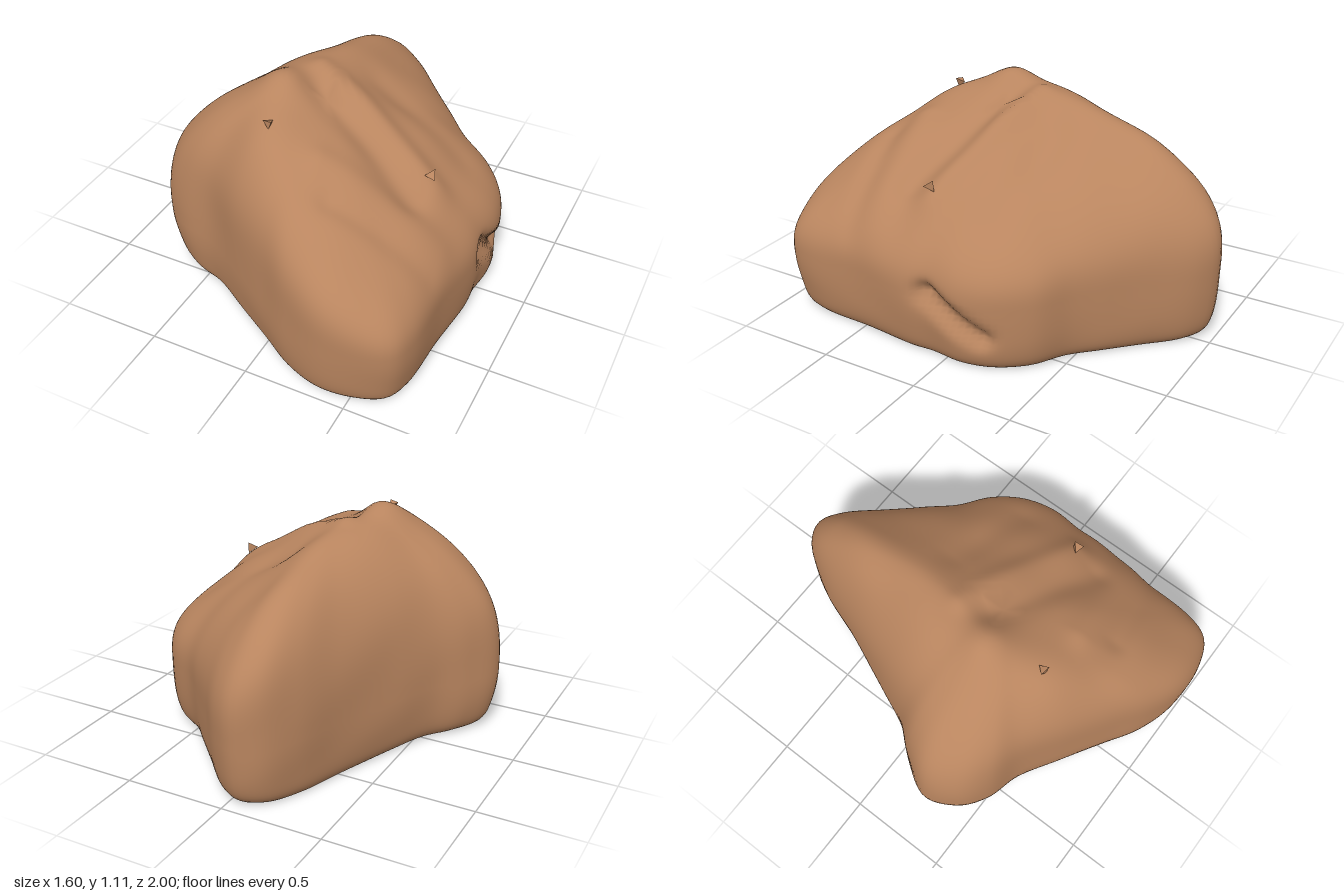
import * as THREE from 'three';
import { mergeVertices } from 'three/addons/utils/BufferGeometryUtils.js';

const AROUND = 180, MID = 0.3, POWER = 3.2;
const CENTER = new THREE.Vector2(0, 0.15);

// Widest contour of the boulder, as x, z pairs
const contour = [
  [-0.06, -1], [0.05, -0.95], [0.2, -0.8], [0.35, -0.65], [0.48, -0.52], [0.65, -0.41],
  [0.76, -0.26], [0.8, -0.1], [0.785, 0.08], [0.79, 0.2], [0.76, 0.5], [0.74, 0.8],
  [0.69, 0.92], [0.55, 0.985], [0.37, 1], [0.18, 0.94], [0, 0.83], [-0.2, 0.71],
  [-0.42, 0.58], [-0.6, 0.53], [-0.73, 0.44], [-0.8, 0.28], [-0.72, 0.12], [-0.6, -0.02],
  [-0.5, -0.22], [-0.42, -0.4], [-0.35, -0.57], [-0.27, -0.79], [-0.17, -0.95],
];

// Ridges (positive) and valleys (negative) across the top: x1, z1, x2, z2, width, height
const folds = [
  [-0.1, -0.02, 0.57, 0.18, 0.07, 0.035],
  [-0.05, 0.13, 0.5, 0.33, 0.08, -0.035],
  [0.15, 0.5, 0.7, 0.42, 0.08, 0.03],
  [0.25, 0.63, 0.7, 0.56, 0.06, -0.02],
  [-0.1, -0.15, -0.06, -0.8, 0.09, 0.02],
  [0.1, -0.2, 0.55, -0.15, 0.09, -0.02],
  [-0.22, 0.2, -0.18, 0.2, 0.1, 0.03],
];

const soft = (v, s = 0.1) => (v + Math.sqrt(v * v + s * s)) / 2;

// Bell-shaped falloff around a line segment
function bell(px, py, ax, ay, bx, by, width) {
  const dx = bx - ax, dy = by - ay;
  const t = THREE.MathUtils.clamp(((px - ax) * dx + (py - ay) * dy) / (dx * dx + dy * dy), 0, 1);
  const d = Math.hypot(px - ax - t * dx, py - ay - t * dy) / width;
  return Math.exp(-d * d);
}

// Height of the crown: a peak falling gently west, north and south, and faster east
function crown(x, z) {
  let h = 1.13 - 0.45 * soft(-0.2 - x) - 0.5 * soft(x + 0.2) - 0.17 * soft(-z) - 0.12 * soft(z - 0.2);
  for (const [ax, az, bx, bz, w, amount] of folds) h += amount * bell(x, z, ax, az, bx, bz, w);
  return h + 0.008 * Math.sin(13 * x + 5 * z) * Math.cos(11 * z - 4 * x);
}

// How far the foot is drawn in below the widest level
function footScale(x, y) {
  const inset = 0.085 + 0.06 * THREE.MathUtils.smoothstep(-x, 0.3, 0.75);
  const k = 1 - y / MID;
  return 1 - inset * (0.55 * k * k + 0.45 * Math.pow(k, 12));
}

// Closed grid of rings, running from the first ring up to the last
function ringSurface(rings, pointAt) {
  const positions = [], index = [];
  for (let j = 0; j < rings; j++) {
    for (let i = 0; i < AROUND; i++) positions.push(...pointAt(i, j));
  }
  for (let j = 0; j < rings - 1; j++) {
    for (let i = 0; i < AROUND; i++) {
      const a = j * AROUND + i, b = j * AROUND + (i + 1) % AROUND;
      index.push(a, a + AROUND, b, b, a + AROUND, b + AROUND);
    }
  }
  let geometry = new THREE.BufferGeometry();
  geometry.setAttribute('position', new THREE.Float32BufferAttribute(positions, 3));
  geometry.setIndex(index);
  geometry = mergeVertices(geometry, 1e-5);
  geometry.computeVertexNormals();
  return geometry;
}

export function createModel() {
  const group = new THREE.Group();
  group.name = 'boulder';
  const stone = new THREE.MeshStandardMaterial({ color: 0xb9855f });
  stone.name = 'brownStone';

  const curve = new THREE.CatmullRomCurve3(contour.map(([x, z]) => new THREE.Vector3(x, 0, z)), true);
  const edge = curve.getSpacedPoints(AROUND).slice(0, AROUND);
  const place = (i, f) => [
    CENTER.x + f * (edge[i].x - CENTER.x),
    CENTER.y + f * (edge[i].z - CENTER.y),
  ];

  // Body: drawn-in foot, steep walls, and a rounded shoulder running into the crown
  const footRings = 16, topRings = 64;
  const body = ringSurface(footRings + topRings, (i, j) => {
    let x, y, z;
    if (j < footRings) {
      y = MID * Math.pow(j / footRings, 1.5);
      [x, z] = place(i, footScale(edge[i].x, y));
    } else {
      const t = (j - footRings) / (topRings - 1), a = t * Math.PI / 2;
      const f = t === 1 ? 0 : Math.pow(Math.cos(a), 2 / POWER);
      [x, z] = place(i, f);
      y = MID + (crown(x, z) - MID) * Math.pow(Math.sin(a), 2 / POWER);
    }
    // Slanting gash in the east wall and slight unevenness on all walls
    const wall = THREE.MathUtils.smoothstep(y, 0, 0.2);
    if (x > 0.5) x -= 0.06 * wall * bell(z, y, 0.08, 0.34, -0.2, 0.17, 0.05);
    const uneven = 1 + 0.007 * wall * Math.sin(9 * y + 7 * x) * Math.cos(8 * z - 3 * y);
    return [x * uneven, y, z * uneven];
  });
  const bodyMesh = new THREE.Mesh(body, stone);
  bodyMesh.name = 'rockBody';
  group.add(bodyMesh);

  // Flat underside
  const under = ringSurface(2, (i, j) => {
    const [x, z] = place(i, j * footScale(edge[i].x, 0));
    return [x, 0, z];
  });
  const underMesh = new THREE.Mesh(under, stone);
  underMesh.name = 'flatUnderside';
  group.add(underMesh);

  // Small stone chips on the crown
  [[-0.13, 0.47, 0.03], [0.55, 0.19, 0.035]].forEach(([x, z, size], k) => {
    const chip = new THREE.Mesh(new THREE.TetrahedronGeometry(size), stone);
    chip.name = 'chip' + (k + 1);
    chip.position.set(x, crown(x, z) - 0.025, z);
    chip.rotation.set(0.4 + k, 0.7, 0.3);
    group.add(chip);
  });

  return group;
}
